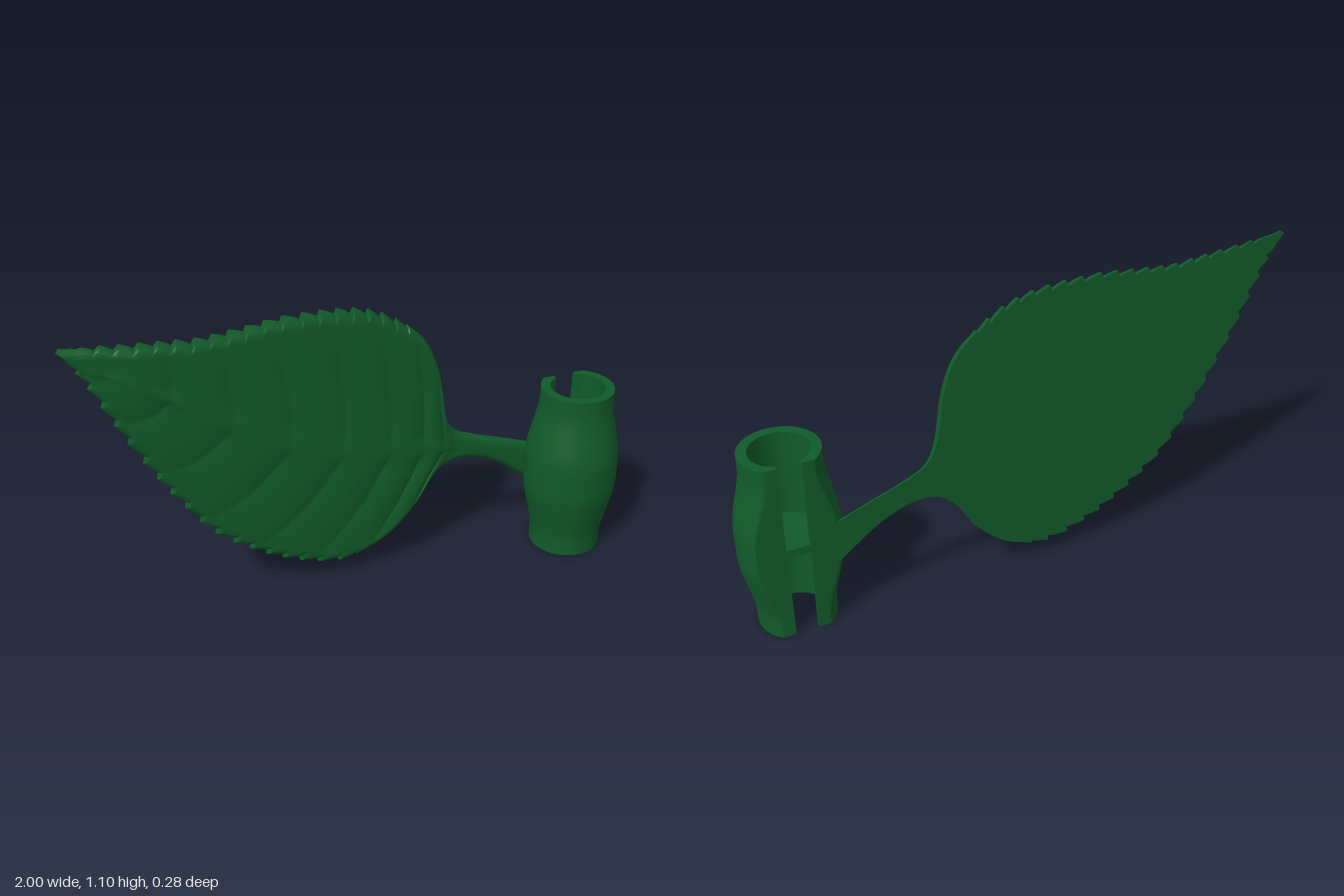
import * as THREE from 'three';
import { toCreasedNormals } from 'three/addons/utils/BufferGeometryUtils.js';

const green = new THREE.MeshStandardMaterial({ color: 0x115a29 });
green.name = 'leaf green';

const BACK = -0.142; // flat back plane shared by leaf, stem and clip

// Surface from a rule fn(u, v) -> [x, y, z], with u and v in 0..1
function surface(nu, nv, fn, flip = false) {
  const pos = [], index = [];
  for (let i = 0; i <= nu; i++)
    for (let j = 0; j <= nv; j++) pos.push(...fn(i / nu, j / nv));
  for (let i = 0; i < nu; i++)
    for (let j = 0; j < nv; j++) {
      const a = i * (nv + 1) + j, b = a + nv + 1;
      if (flip) index.push(a, b + 1, b, a, a + 1, b + 1);
      else index.push(a, b, b + 1, a, b + 1, a + 1);
    }
  const g = new THREE.BufferGeometry();
  g.setAttribute('position', new THREE.Float32BufferAttribute(pos, 3));
  g.setIndex(index);
  return toCreasedNormals(g, 0.7);
}

function add(group, name, geometry) {
  const mesh = new THREE.Mesh(geometry, green);
  mesh.name = name;
  group.add(mesh);
  return mesh;
}

const curve = (pts) =>
  new THREE.CatmullRomCurve3(pts.map(([x, y]) => new THREE.Vector3(x, y, 0)), false, 'catmullrom', 0.5);

// Leaf and stem: lower edge, midrib and upper edge, from tip to stem
const lower = curve([[-1, 1.085], [-0.93, 0.99], [-0.85, 0.82], [-0.76, 0.64], [-0.66, 0.47], [-0.54, 0.31],
  [-0.4, 0.2], [-0.25, 0.12], [-0.08, 0.075], [0.07, 0.115], [0.19, 0.22], [0.265, 0.335], [0.33, 0.39],
  [0.42, 0.4], [0.54, 0.355], [0.7, 0.24]]);
const midrib = curve([[-1, 1.09], [-0.89, 1.01], [-0.76, 0.93], [-0.62, 0.84], [-0.47, 0.73], [-0.32, 0.64],
  [-0.17, 0.565], [-0.03, 0.53], [0.1, 0.505], [0.2, 0.49], [0.28, 0.475], [0.34, 0.465], [0.39, 0.45],
  [0.46, 0.435], [0.56, 0.39], [0.7, 0.325]]);
const upper = curve([[-0.99, 1.095], [-0.85, 1.075], [-0.7, 1.06], [-0.56, 1.05], [-0.42, 1.06], [-0.27, 1.075],
  [-0.12, 1.075], [0.02, 1.055], [0.14, 1.0], [0.24, 0.92], [0.295, 0.8], [0.325, 0.62], [0.37, 0.53],
  [0.46, 0.485], [0.56, 0.45], [0.7, 0.4]]);
const SPANS = 15;
const { smoothstep } = THREE.MathUtils;

function leafPoint(u, v, raised) {
  const k = u * SPANS;
  const side = v < 0.5 ? -1 : 1;
  const s = 1 - (1 - Math.abs(2 * v - 1)) ** 2; // 0 at the midrib, 1 at the edge, denser at the edge
  const mid = midrib.getPoint(u);
  const out = (side < 0 ? lower : upper).getPoint(u).sub(mid);
  const width = out.length();
  const p = mid.clone().addScaledVector(out, s);

  // Saw teeth that lean towards the tip
  const tooth = 1 - ((k * 2.4) % 1);
  const toothFade = smoothstep(k, 0.2, 1) * (1 - smoothstep(k, 7.8, 8.8));
  p.addScaledVector(out.normalize(), (0.026 * tooth ** 0.7 - 0.014) * toothFade * s ** 6);
  if (!raised) return [p.x, p.y, BACK];

  // Rounded rim, pillowed areas between curved side veins, and a fine midrib
  const blade = smoothstep(k, 0.3, 2.2) * (1 - smoothstep(k, 10, 12));
  const d = Math.min(1, (width * (1 - s)) / 0.032);
  const rim = Math.sqrt(1 - (1 - d) ** 2);
  const pillow = Math.abs(Math.sin((Math.PI * (k + 0.9 * s * s)) / 1.35)) ** 0.7;
  const veins = -0.01 * (1 - pillow) * blade * (1 - s ** 4) * smoothstep(s, 0, 0.15);
  const rib = 0.003 * blade * Math.exp(-(((width * s) / 0.02) ** 2));
  return [p.x, p.y, BACK + rim * (0.025 + 0.013 * blade + veins + rib)];
}

// Clip: bulged tube, cut flat at the back and split by a slot
const CX = 0.822, CZ = -0.035, H = 0.665, BORE = 0.1, SLOT = 0.04;
const outerRadius = (y) => 0.135 + 0.04 * smoothstep(Math.min(y, H - y), 0.04, 0.29);

function ring(r, a, y) {
  const start = Math.asin(SLOT / r);
  const angle = start + a * 2 * (Math.PI - start);
  return [CX + r * Math.sin(angle), y, Math.max(CZ - r * Math.cos(angle), BACK)];
}
const outer = (a, y) => ring(outerRadius(y), a, y);
const inner = (a, y) => ring(BORE, a, y);
const between = (a, y, t) => {
  const o = outer(a, y), i = inner(a, y);
  return o.map((c, n) => c + (i[n] - c) * t);
};

export function createModel() {
  const model = new THREE.Group();
  model.name = 'leafClip';

  const leaf = new THREE.Group();
  leaf.name = 'leaf';
  add(leaf, 'leafFront', surface(330, 48, (u, v) => leafPoint(u, v, true)));
  add(leaf, 'leafBack', surface(330, 8, (u, v) => leafPoint(u, v, false), true));
  model.add(leaf);

  const clip = new THREE.Group();
  clip.name = 'clip';
  add(clip, 'clipOuterWall', surface(128, 40, (u, v) => outer(u, v * H), true));
  add(clip, 'clipBore', surface(64, 1, (u, v) => inner(u, v * H)));
  for (const y of [0, H])
    add(clip, y ? 'clipTopRim' : 'clipBottomRim', surface(128, 1, (u, v) => between(u, y, v), y > 0));
  for (const a of [0, 1])
    add(clip, a ? 'slotRightWall' : 'slotLeftWall', surface(40, 1, (u, v) => between(a, u * H, v), a === 0));

  // Floor halfway up the bore, with a web across the slot
  add(clip, 'clipFloor', new THREE.CylinderGeometry(BORE + 0.001, BORE + 0.001, 0.03, 48))
    .position.set(CX, H / 2, CZ);
  const webDepth = CZ - BACK;
  add(clip, 'slotWeb', new THREE.BoxGeometry(2 * SLOT, 0.03, webDepth))
    .position.set(CX, H / 2, BACK + webDepth / 2);
  model.add(clip);

  return model;
}
